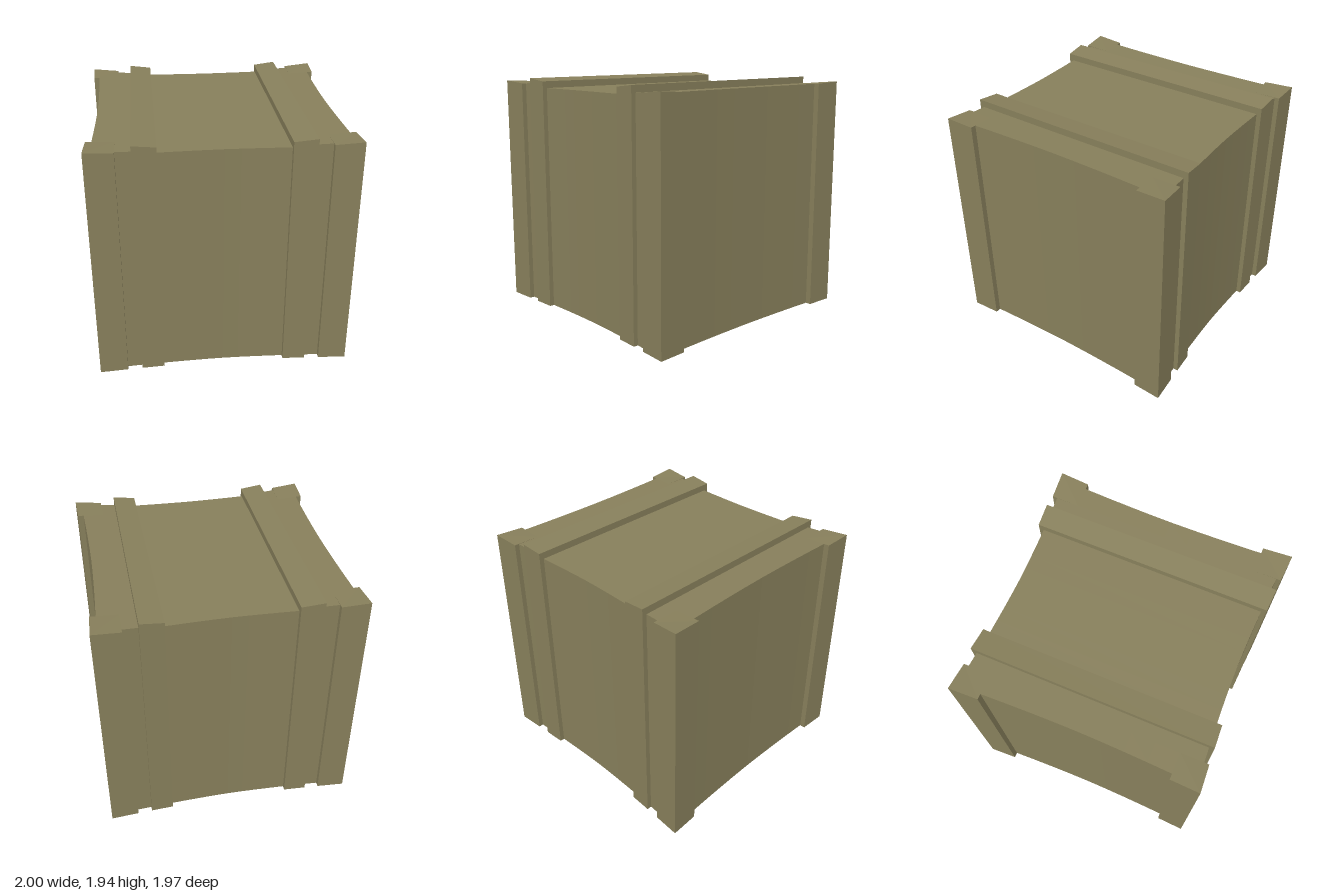
import * as THREE from 'three';

const wood = new THREE.MeshStandardMaterial({ color: 0x877f5b });
wood.name = 'olive wood';

const lerp = THREE.MathUtils.lerp;
// Slightly hollow walls: half depth along x and half width along z
const halfDepth = (x) => 0.9 + 0.045 * Math.abs(x) ** 1.6;
const halfWidth = (z) => 0.925 + 0.03 * Math.abs(z) ** 1.7;
// Lid rises toward the sides
const lid = (x) => 1.884 + (Math.abs(x) - 0.665) * 0.045;

// Box whose x and z limits are functions of the other axis and whose top is top(x, z)
function block(name, xNear, xFar, zNear, zFar, top, segX = 1, segZ = 1) {
  const indexed = new THREE.BoxGeometry(1, 1, 1, segX, 1, segZ);
  const geometry = indexed.toNonIndexed();
  const p = geometry.attributes.position;
  for (let i = 0; i < p.count; i++) {
    const u = p.getX(i) + 0.5, w = p.getZ(i) + 0.5;
    const zGuess = lerp(zNear(0.9), zFar(0.9), w);
    const x = lerp(xNear(zGuess), xFar(zGuess), u);
    const z = lerp(zNear(x), zFar(x), w);
    p.setXYZ(i, x, p.getY(i) > 0 ? top(x, z) : 0, z);
  }
  geometry.computeVertexNormals();
  const mesh = new THREE.Mesh(geometry, wood);
  mesh.name = name;
  return mesh;
}

const at = (v) => () => v;

export function createModel() {
  const group = new THREE.Group();
  group.name = 'crate';
  const back = (raise) => (x) => -halfDepth(x) - raise;
  const front = (raise) => (x) => halfDepth(x) + raise;

  // Central panel
  group.add(block('centrePanel', at(-0.485), at(0.485), back(0), front(0), at(1.865), 8, 1));

  for (const s of [-1, 1]) {
    const side = s > 0 ? 'left' : 'right';
    // Orders the limits so that x always grows
    const span = (inner, outer) => (s > 0 ? [inner, outer] : [outer, inner]);

    // Raised band over the lid and down both faces
    group.add(block(side + 'Band', ...span(at(s * 0.485), at(s * 0.665)), back(0.038), front(0.038),
      (x) => 1.92 + (Math.abs(x) - 0.485) * 0.11));

    // Recess between band and corner posts
    group.add(block(side + 'Recess', ...span(at(s * 0.665), at(s * 0.78)), back(0), front(0), lid));

    // Hollow side wall
    group.add(block(side + 'Wall', ...span(at(s * 0.78), (z) => s * halfWidth(z)),
      at(-0.75), at(0.75), lid, 1, 8));

    // Raised corner posts, tops lifting toward the corner
    for (const d of [-1, 1]) {
      const inner = at(d * 0.75), outer = (x) => d * (halfDepth(x) + 0.038);
      const limits = d > 0 ? [inner, outer] : [outer, inner];
      group.add(block(side + (d > 0 ? 'Front' : 'Back') + 'Post',
        ...span(at(s * 0.78), (z) => s * (halfWidth(z) + 0.045)), ...limits,
        (x, z) => lid(x) + (Math.abs(x) - 0.665) * 0.035 * (Math.abs(z) - 0.75) / 0.23));
    }
  }
  return group;
}
